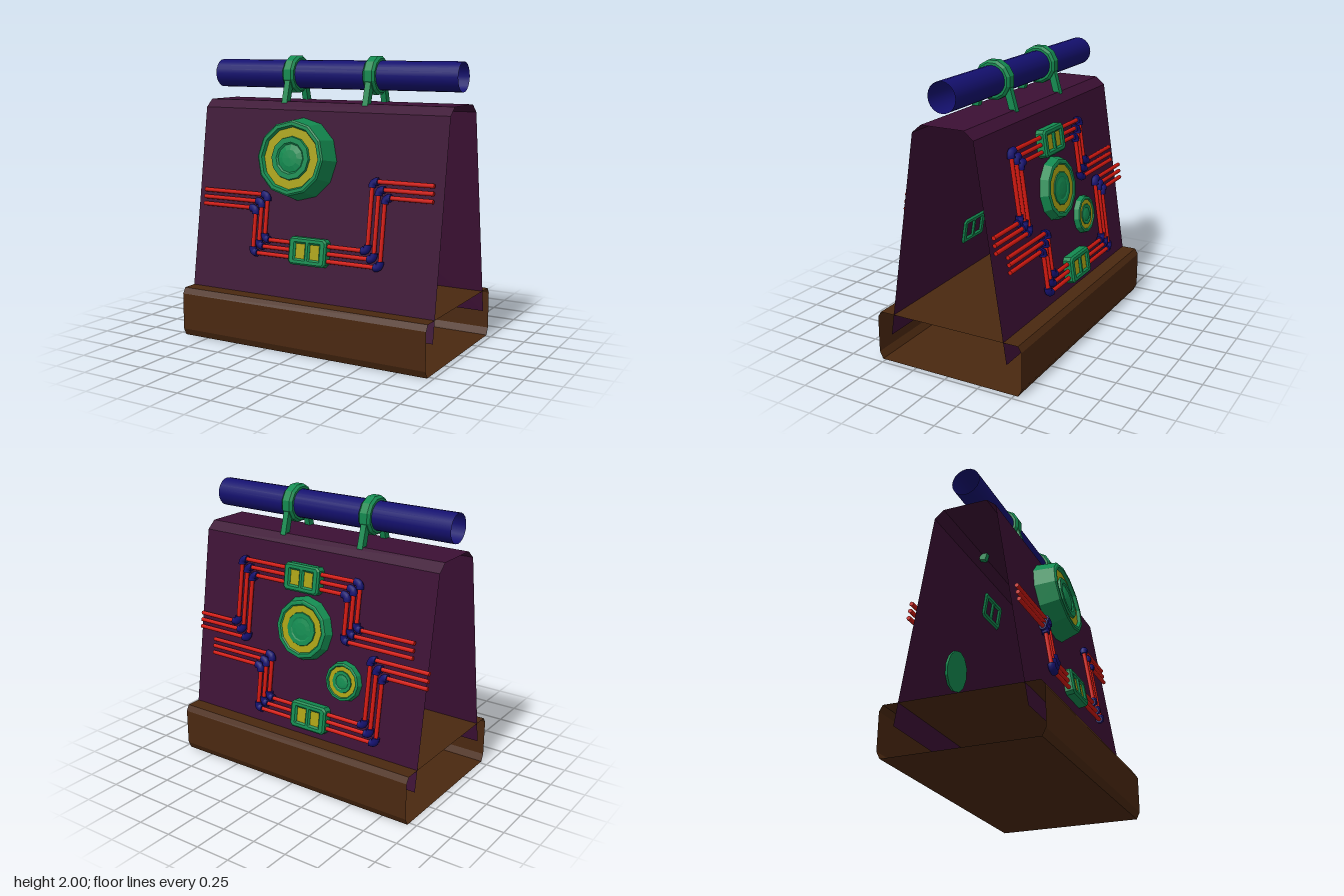
import * as THREE from 'three';

const paint = (color, side = THREE.FrontSide, flatShading = true) =>
  new THREE.MeshStandardMaterial({ color, side, flatShading });
const GREEN = paint(0x138a50);
const YELLOW = paint(0xa8a014);
const RED = paint(0xd01810, THREE.FrontSide, false);
const BLUE = paint(0x14106e, THREE.FrontSide, false);
const ROD = paint(0x14106e, THREE.DoubleSide, false);
const BROWN = paint(0x4a2810, THREE.DoubleSide);
const PURPLE = paint(0x3c1034, THREE.DoubleSide);

const X0 = -0.945, X1 = 0.96;                // ends of the shell
const WALL_Y = 0.35, WALL_Z = 0.42;          // foot of the visible wall
const TILT = Math.atan2(0.2, 1.28);          // lean of the walls

function add(parent, name, geometry, material, x = 0, y = 0, z = 0) {
  const mesh = new THREE.Mesh(geometry, material);
  mesh.name = name;
  mesh.position.set(x, y, z);
  parent.add(mesh);
  return mesh;
}

// Open-ended sheet: a [z, y] profile swept along x
function sheet(profile) {
  const pos = [];
  for (let i = 0; i < profile.length - 1; i++) {
    const [za, ya] = profile[i], [zb, yb] = profile[i + 1];
    pos.push(X0, ya, za, X1, ya, za, X1, yb, zb, X0, ya, za, X1, yb, zb, X0, yb, zb);
  }
  const g = new THREE.BufferGeometry();
  g.setAttribute('position', new THREE.Float32BufferAttribute(pos, 3));
  g.computeVertexNormals();
  return g;
}

// Lathe turned so its axis points out along +z; points are [radius, depth]
const turned = (points) =>
  new THREE.LatheGeometry(points.map(([r, d]) => new THREE.Vector2(r, d)), 12).rotateX(Math.PI / 2);

// Straight pipe between two points
function rod(a, b, r, sides) {
  const d = b.clone().sub(a);
  const g = new THREE.CylinderGeometry(r, r, d.length(), sides);
  g.applyQuaternion(new THREE.Quaternion().setFromUnitVectors(new THREE.Vector3(0, 1, 0), d.clone().normalize()));
  const m = a.clone().add(b).multiplyScalar(0.5);
  return g.translate(m.x, m.y, m.z);
}

// Curved pipe joint with thick collars
function addElbow(parent, before, corner, after) {
  const toward = (p, l) => corner.clone().add(p.clone().sub(corner).setLength(l));
  const a = toward(before, 0.034), b = toward(after, 0.034);
  const curve = new THREE.QuadraticBezierCurve3(a, corner, b);
  add(parent, 'elbow', new THREE.TubeGeometry(curve, 4, 0.027, 8), BLUE);
  add(parent, 'elbowCollar', rod(a, toward(before, 0.042), 0.027, 8), BLUE);
  add(parent, 'elbowCollar', rod(b, toward(after, 0.042), 0.027, 8), BLUE);
}

function rectPath(path, cx, w, h, c) {
  const x = w / 2, y = h / 2;
  [[-x + c, -y], [x - c, -y], [x, -y + c], [x, y - c], [x - c, y], [-x + c, y], [-x, y - c], [-x, -y + c]]
    .forEach(([px, py], i) => (i ? path.lineTo(px + cx, py) : path.moveTo(px + cx, py)));
  path.closePath();
  return path;
}

// Green junction box with two yellow windows
function addJunction(parent) {
  const shape = rectPath(new THREE.Shape(), 0, 0.266, 0.166, 0.014);
  for (const s of [-1, 1]) {
    shape.holes.push(rectPath(new THREE.Path(), s * 0.056, 0.095, 0.125, 0.004));
    add(parent, 'junctionWindow', new THREE.BoxGeometry(0.08, 0.11, 0.05), YELLOW, s * 0.056, 0, 0.03);
  }
  const g = new THREE.ExtrudeGeometry(shape, { depth: 0.056, bevelThickness: 0.012, bevelSize: 0.012, bevelSegments: 1 });
  add(parent, 'junctionFrame', g, GREEN);
}

// Three parallel bent pipes meeting a junction box
function addCircuit(panel, x, y, turn = 0) {
  const g = new THREE.Group();
  g.name = 'pipeCircuit';
  g.position.set(x, (y - WALL_Y) / Math.cos(TILT), 0);
  g.rotation.z = turn;
  panel.add(g);
  for (const i of [-1, 0, 1]) {
    const l = -0.41 + 0.045 * i, r = 0.49 - 0.05 * i, o = 0.05 * i;
    const p = [[-0.9, 0.31 + o], [l, 0.31 + o], [l, o], [r, o], [r, 0.46 + o], [0.88, 0.46 + o]]
      .map(([px, py]) => new THREE.Vector3(px, py, 0.03));
    for (let k = 0; k < 5; k++) {
      const dir = p[k + 1].clone().sub(p[k]).normalize();
      const a = p[k].clone().addScaledVector(dir, k > 0 ? 0.03 : 0);
      const b = p[k + 1].clone().addScaledVector(dir, k < 4 ? -0.03 : 0);
      add(g, 'pipe', rod(a, b, 0.015, 8), RED);
      if (k < 4) addElbow(g, p[k], p[k + 1], p[k + 2]);
    }
  }
  addJunction(g);
}

// Round stepped disc with a yellow ring and raised centre
function addDisc(panel, x, y, r, depth, sink = 0) {
  const g = new THREE.Group();
  g.name = 'disc';
  g.position.set(x, (y - WALL_Y) / Math.cos(TILT), -sink);
  g.scale.set(r, r, depth);
  panel.add(g);
  add(g, 'discRim', turned([[0, 0], [1, 0], [0.9, 0.95], [0.86, 1], [0.78, 1], [0.74, 0.86]]), GREEN);
  add(g, 'discRing', turned([[0.76, 0.86], [0.52, 0.86]]), YELLOW);
  add(g, 'discCentre', turned([[0.53, 0.84], [0.51, 0.96], [0.38, 0.96], [0.34, 0.9], [0.2, 0.98], [0, 1]]), GREEN);
}

// Frame lying on a leaning wall: local x along it, y up it, z outward
function addPanel(root, name, turn) {
  const side = new THREE.Group(), panel = new THREE.Group();
  side.name = name;
  side.rotation.y = turn;
  panel.position.set(0, WALL_Y, WALL_Z);
  panel.rotation.x = -TILT;
  side.add(panel);
  root.add(side);
  return panel;
}

export function createModel() {
  const root = new THREE.Group();
  root.name = 'pipedCover';

  // Hollow base and open-ended leaning cover
  add(root, 'base', sheet([[-0.525, 0], [0.525, 0], [0.55, 0.05], [0.55, 0.31], [0.525, 0.35],
    [-0.525, 0.35], [-0.55, 0.31], [-0.55, 0.05], [-0.525, 0]]), BROWN);
  add(root, 'cover', sheet([[0.443, 0.2], [0.22, 1.63], [0.155, 1.685],
    [-0.155, 1.685], [-0.22, 1.63], [-0.443, 0.2]]), PURPLE);

  // Top tube
  add(root, 'topTube', new THREE.CylinderGeometry(0.1, 0.1, 1.9, 20, 1, true).rotateZ(Math.PI / 2), ROD, 0.005, 1.87, 0);

  // Clamps holding the tube
  for (const x of [-0.315, 0.32]) {
    const clamp = new THREE.Group();
    clamp.name = 'clamp';
    clamp.position.set(x, 1.87, 0);
    root.add(clamp);
    const profile = [[0.1, -0.045], [0.118, -0.045], [0.134, -0.028], [0.134, 0.028], [0.118, 0.045], [0.1, 0.045], [0.1, -0.045]];
    add(clamp, 'clampRing', turned(profile).rotateZ(Math.PI / 12).rotateY(Math.PI / 2), GREEN);
    for (const s of [-1, 1]) {
      const leg = add(clamp, 'clampLeg', new THREE.BoxGeometry(0.042, 0.2, 0.048), GREEN, 0, -0.135, s * 0.127);
      leg.rotation.x = -s * 0.28;
    }
  }

  // Front wall fittings
  const front = addPanel(root, 'frontFittings', 0);
  addCircuit(front, 0.02, 0.685);
  addDisc(front, -0.12, 1.3, 0.285, 0.15);

  // Back wall fittings
  const back = addPanel(root, 'backFittings', Math.PI);
  addCircuit(back, -0.06, 1.43, Math.PI);
  addCircuit(back, 0.09, 0.5);
  addDisc(back, -0.03, 1.09, 0.225, 0.06);
  addDisc(back, 0.325, 0.8, 0.145, 0.06, 0.02);

  return root;
}
